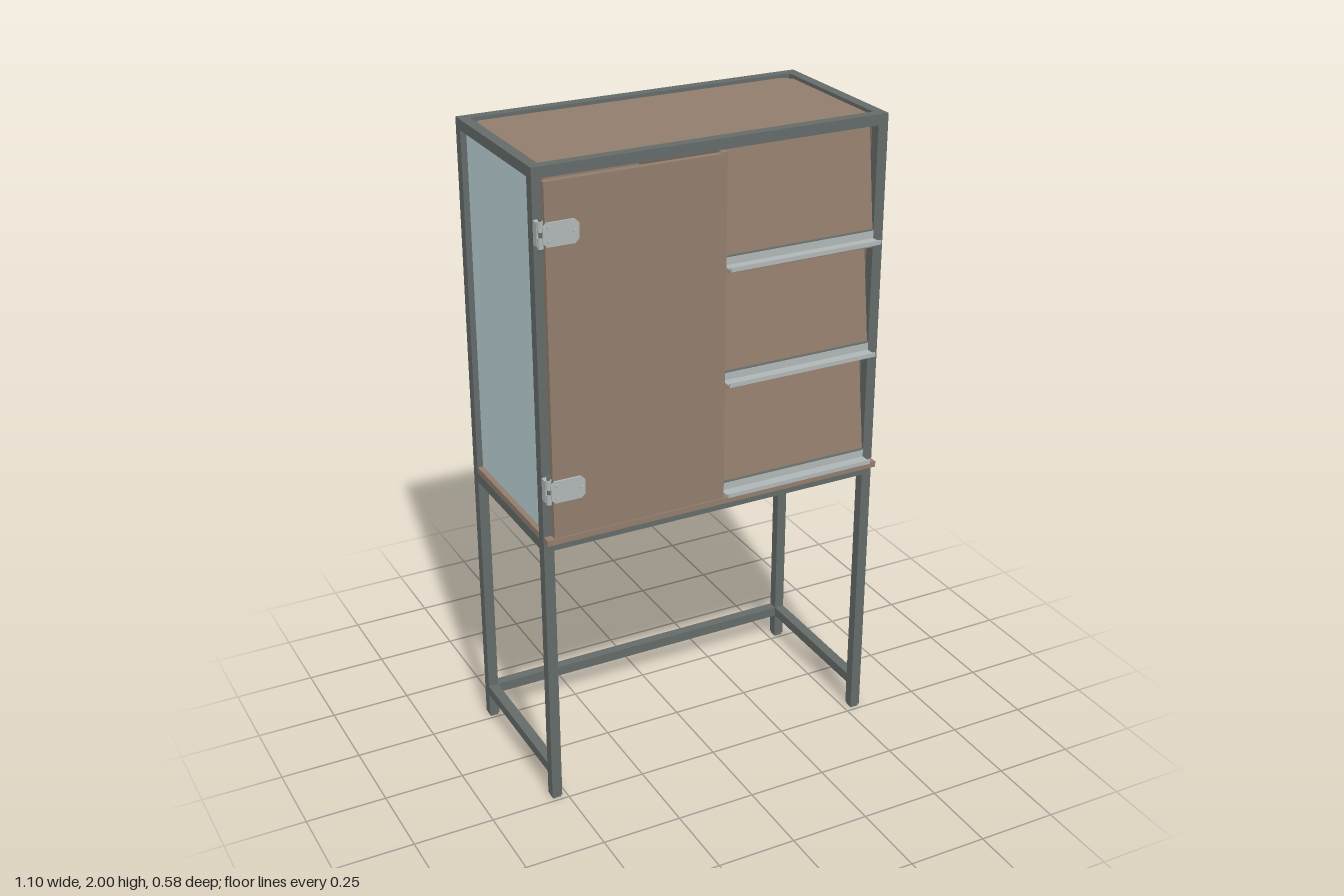
import * as THREE from 'three';

const mat = (name, color) => {
  const m = new THREE.MeshStandardMaterial({ color });
  m.name = name;
  return m;
};

export function createModel() {
  const steel = mat('dark steel', 0x636b69);
  const wood = mat('brown board', 0x927d6c);
  const metal = mat('pale metal', 0xb0b6b6);
  const glass = mat('pale glass', 0xbcd4d6);
  const root = new THREE.Group();
  root.name = 'cabinet';

  // Box given by its lowest and highest corners
  function box(name, m, x0, x1, y0, y1, z0, z1, parent = root) {
    const mesh = new THREE.Mesh(new THREE.BoxGeometry(x1 - x0, y1 - y0, z1 - z0), m);
    mesh.position.set((x0 + x1) / 2, (y0 + y1) / 2, (z0 + z1) / 2);
    mesh.name = name;
    parent.add(mesh);
    return mesh;
  }

  // Rectangle with cut corners, extruded along +z
  function cutPlate(w, h, c, depth) {
    const a = w / 2, b = h / 2;
    const pts = [[-a + c, -b], [a - c, -b], [a, -b + c], [a, b - c], [a - c, b], [-a + c, b], [-a, b - c], [-a, -b + c]];
    const shape = new THREE.Shape(pts.map(p => new THREE.Vector2(...p)));
    return new THREE.ExtrudeGeometry(shape, { depth, bevelEnabled: false });
  }

  const T = 0.032, X = 0.55, ZB = -0.29, ZF = 0.24;

  // Square tube frame
  const frame = new THREE.Group();
  frame.name = 'frame';
  root.add(frame);
  for (const s of [-1, 1]) {
    const x0 = s < 0 ? -X : X - T;
    for (const z0 of [ZB, ZF - T]) {
      box('post', steel, x0, x0 + T, 0.008, 2, z0, z0 + T, frame);
      box('foot', steel, x0 + 0.003, x0 + T - 0.003, 0, 0.008, z0 + 0.003, z0 + T - 0.003, frame);
    }
    for (const y of [0.085, 0.86, 2 - T]) {
      box('sideRail', steel, x0, x0 + T, y, y + T, ZB + T, ZF - T, frame);
    }
  }
  for (const y of [0.085, 0.86, 2 - T]) box('backRail', steel, -X + T, X - T, y, y + T, ZB, ZB + T, frame);
  for (const y of [0.86, 2 - T]) box('frontRail', steel, -X + T, X - T, y, y + T, ZF - T, ZF, frame);

  // Corner gussets beneath the top panel
  for (const sx of [-1, 1]) for (const sz of [-1, 1]) {
    const cx = sx * (X - T - 0.015), cz = sz > 0 ? ZF - T - 0.015 : ZB + T + 0.015;
    box('gusset', steel, cx - 0.016, cx + 0.016, 1.968, 1.974, cz - 0.016, cz + 0.016, frame);
  }

  // Boards closing the case
  const top = new THREE.Mesh(cutPlate(2 * (X - T), ZF - ZB - 2 * T, 0.026, 0.014), wood);
  top.rotation.x = -Math.PI / 2;
  top.position.set(0, 1.975, (ZF + ZB) / 2);
  top.name = 'topPanel';
  root.add(top);
  box('bottomBoard', wood, -X + 0.001, X - 0.001, 0.892, 0.91, ZB + 0.001, 0.265);
  box('backPanel', wood, -X + 0.02, X - 0.02, 0.915, 1.97, ZB + 0.028, ZB + 0.04);
  box('rightSidePanel', glass, -X + 0.018, -X + 0.03, 0.91, 1.97, ZB + 0.02, ZF - 0.02);
  box('leftSidePanel', wood, X - 0.03, X - 0.018, 0.91, 1.97, ZB + 0.02, ZF - 0.02);
  box('divider', wood, 0.003, 0.02, 0.91, 1.968, ZB + 0.04, 0.262);

  // Door: face sheet with a rim behind it
  const door = new THREE.Group();
  door.name = 'door';
  root.add(door);
  box('doorSheet', wood, -0.53, 0, 0.917, 1.968, 0.255, 0.273, door);
  box('doorStile', wood, -0.52, -0.45, 0.925, 1.962, 0.241, 0.255, door);
  box('doorStile', wood, -0.055, -0.003, 0.925, 1.962, 0.241, 0.255, door);
  for (const y of [0.925, 1.9]) box('doorCrosspiece', wood, -0.45, -0.055, y, y + 0.05, 0.241, 0.255, door);

  // Hinges: plate, barrel with knuckles, screws
  for (const y of [1.066, 1.824]) {
    const hinge = new THREE.Group();
    hinge.name = 'hinge';
    hinge.position.y = y;
    root.add(hinge);
    const plate = new THREE.Mesh(cutPlate(0.105, 0.068, 0.012, 0.006), metal);
    plate.position.set(-0.486, 0, 0.274);
    plate.name = 'hingePlate';
    hinge.add(plate);
    const pin = new THREE.Mesh(new THREE.CylinderGeometry(0.005, 0.005, 0.1, 12), steel);
    pin.position.set(-0.541, 0, 0.268);
    pin.name = 'hingePin';
    hinge.add(pin);
    for (const ky of [-0.023, 0.023]) {
      const knuckle = new THREE.Mesh(new THREE.CylinderGeometry(0.0085, 0.0085, 0.03, 14), metal);
      knuckle.position.set(-0.541, ky, 0.268);
      knuckle.name = 'hingeKnuckle';
      hinge.add(knuckle);
    }
    box('hingeLeaf', metal, -0.55, -0.535, -0.034, 0.034, 0.24, 0.264, hinge);
    for (const [sx, sy] of [[-0.52, 0.02], [-0.52, -0.02], [-0.445, 0]]) {
      const screw = new THREE.Mesh(new THREE.CylinderGeometry(0.006, 0.006, 0.006, 10), metal);
      screw.rotation.x = Math.PI / 2;
      screw.position.set(sx, sy, 0.283);
      screw.name = 'hingeScrew';
      hinge.add(screw);
    }
  }

  // Three bays, each with a leaning panel and a metal lip
  const bays = [0.91, 1.265, 1.617];
  bays.forEach((y, i) => {
    const bay = new THREE.Group();
    bay.name = 'displayBay';
    root.add(bay);
    const yTop = i < 2 ? bays[i + 1] - 0.014 : 1.966;
    if (i > 0) box('shelf', wood, 0.02, X - T, y - 0.014, y, ZB + 0.04, 0.24, bay);

    const z0 = 0.238, z1 = 0.195, h = yTop - y - 0.012;
    const lean = new THREE.Mesh(new THREE.BoxGeometry(0.494, Math.hypot(h, z0 - z1), 0.01), wood);
    lean.rotation.x = -Math.atan2(z0 - z1, h);
    lean.position.set(0.268, y + 0.006 + h / 2, (z0 + z1) / 2);
    lean.name = 'leaningPanel';
    bay.add(lean);

    box('lipShelf', metal, 0.021, 0.514, y + 0.013, y + 0.017, 0.24, 0.288, bay);
    box('lipFront', metal, 0.021, 0.514, y + 0.011, y + 0.024, 0.284, 0.289, bay);
    box('lipBack', metal, 0.021, 0.514, y + 0.013, y + 0.041, 0.241, 0.246, bay);
    box('lipSeal', steel, 0.021, 0.514, y + 0.041, y + 0.043, 0.238, 0.248, bay);
  });

  return root;
}
